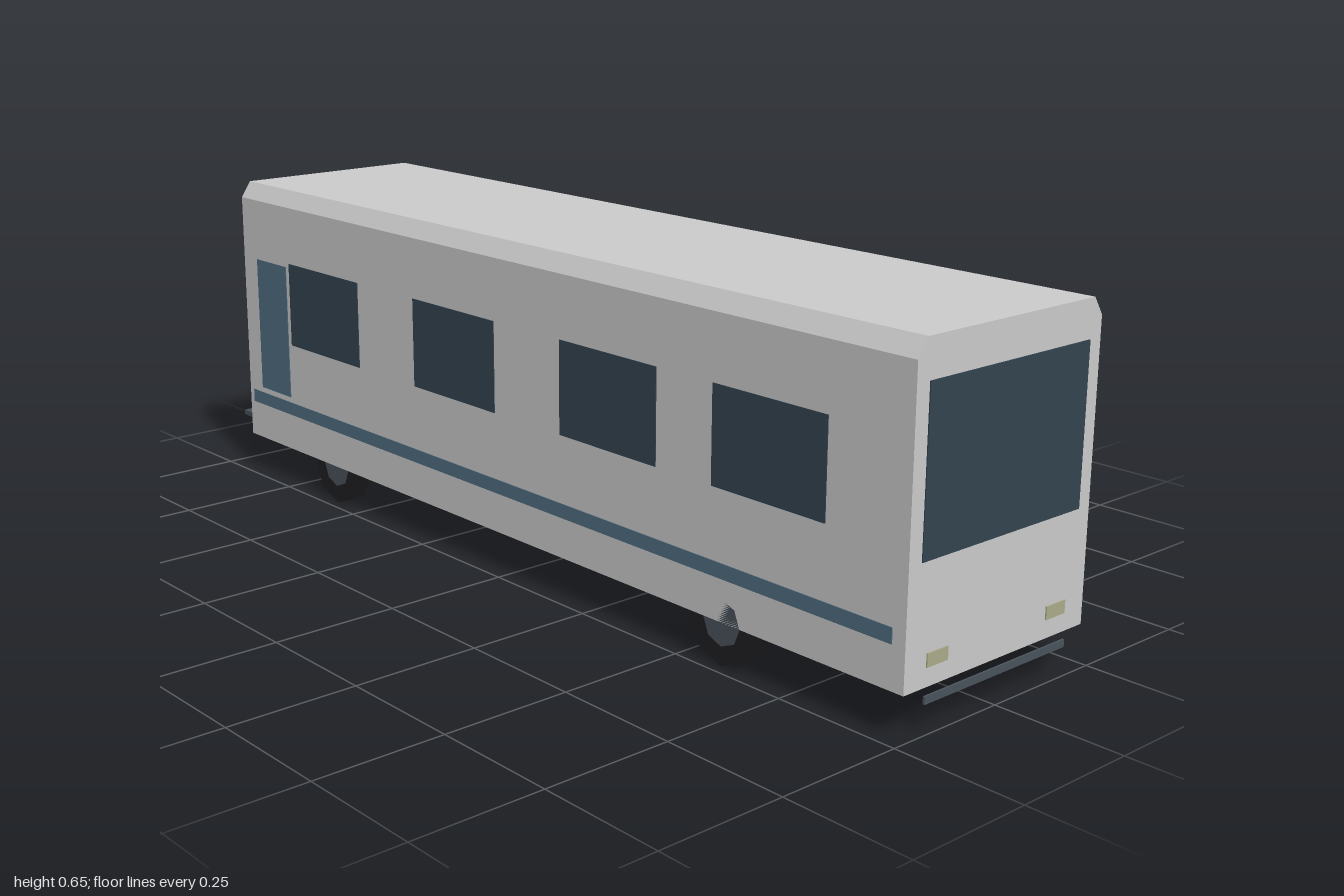
import * as THREE from 'three';

const mat = (color) => new THREE.MeshStandardMaterial({ color, flatShading: true });
const M = {
  body: mat(0xcccccc), glass: mat(0x334450), trim: mat(0x507082), tyre: mat(0x1e1e22),
  metal: mat(0x4a535c), dark: mat(0x33383e), headlight: mat(0xacac8a), taillight: mat(0x803838),
};

function add(parent, name, geometry, material, x = 0, y = 0, z = 0) {
  const mesh = new THREE.Mesh(geometry, material);
  mesh.name = name;
  mesh.position.set(x, y, z);
  parent.add(mesh);
  return mesh;
}

// Box given by its minimum and maximum corners
function box(parent, name, material, [x0, y0, z0], [x1, y1, z1]) {
  return add(parent, name, new THREE.BoxGeometry(x1 - x0, y1 - y0, z1 - z0), material,
    (x0 + x1) / 2, (y0 + y1) / 2, (z0 + z1) / 2);
}

// Thin round bar between two points
function bar(parent, name, material, a, b, r) {
  const p = new THREE.Vector3(...a), q = new THREE.Vector3(...b);
  const d = q.clone().sub(p);
  const mesh = add(parent, name, new THREE.CylinderGeometry(r, r, d.length(), 6), material);
  mesh.position.copy(p).add(q).multiplyScalar(0.5);
  mesh.quaternion.setFromUnitVectors(new THREE.Vector3(0, 1, 0), d.normalize());
  return mesh;
}

function createBody() {
  const w = 0.23, s = new THREE.Shape();
  s.moveTo(-w, 0.081);
  s.lineTo(w, 0.081);
  s.lineTo(w, 0.622);
  s.lineTo(w - 0.022, 0.655);
  s.lineTo(-w + 0.022, 0.655);
  s.lineTo(-w, 0.622);
  s.closePath();
  const geometry = new THREE.ExtrudeGeometry(s, { depth: 1.925, bevelEnabled: false });
  geometry.translate(0, 0, -0.928);
  return geometry;
}

function createWheel(side, z) {
  const wheel = new THREE.Group();
  wheel.name = 'wheel';
  const r = 0.081;
  const tyre = add(wheel, 'tyre', new THREE.CylinderGeometry(r, r, 0.032, 8), M.tyre);
  const hub = add(wheel, 'hub', new THREE.CylinderGeometry(0.044, 0.044, 0.033, 8), M.metal, side * 0.0005);
  tyre.rotation.z = hub.rotation.z = Math.PI / 2;
  wheel.position.set(side * 0.213, r, z);
  return wheel;
}

function createLadder() {
  const ladder = new THREE.Group();
  ladder.name = 'ladder';
  for (const x of [0.138, 0.202])
    box(ladder, 'ladderRail', M.dark, [x - 0.008, 0.155, -0.955], [x + 0.008, 0.638, -0.941]);
  for (let i = 0; i < 5; i++) {
    const y = 0.235 + i * 0.0915;
    box(ladder, 'ladderRung', M.dark, [0.138, y - 0.006, -0.953], [0.202, y + 0.006, -0.943]);
  }
  return ladder;
}

function createBicycle() {
  const bike = new THREE.Group();
  bike.name = 'bicycle';
  const z = -0.969;
  const P = {
    frontHub: [0.046, 0.197, z], rearHub: [-0.14, 0.197, z], crank: [-0.049, 0.197, z],
    head: [0.012, 0.283, z], seatTop: [-0.098, 0.278, z],
  };
  // Six-sided wheels with a corner pointing along x
  for (const [x, y] of [P.frontHub, P.rearHub]) {
    const g = new THREE.CylinderGeometry(0.0525, 0.0525, 0.016, 6);
    g.rotateY(Math.PI / 2).rotateX(Math.PI / 2);
    add(bike, 'bicycleWheel', g, M.tyre, x, y, z);
  }
  const tubes = [['frontHub', 'head'], ['head', 'seatTop'], ['head', 'crank'],
    ['crank', 'seatTop'], ['seatTop', 'rearHub']];
  for (const [a, b] of tubes) bar(bike, 'bicycleFrame', M.trim, P[a], P[b], 0.004);
  bar(bike, 'handlebarStem', M.trim, P.head, [0.02, 0.315, z], 0.004);
  bar(bike, 'seatPost', M.trim, P.seatTop, [-0.094, 0.307, z], 0.004);
  box(bike, 'handlebar', M.dark, [-0.01, 0.313, z - 0.007], [0.05, 0.325, z + 0.007]);
  box(bike, 'saddle', M.dark, [-0.122, 0.304, z - 0.009], [-0.067, 0.316, z + 0.009]);
  return bike;
}

export function createModel() {
  const model = new THREE.Group();
  model.name = 'motorCoach';
  add(model, 'body', createBody(), M.body);
  box(model, 'windscreen', M.glass, [-0.2, 0.295, 0.99], [0.2, 0.585, 0.999]);

  // Matching windows, door and stripe on both sides
  for (const side of [1, -1]) {
    const panel = (name, material, y0, y1, z0, z1) =>
      add(model, name, new THREE.BoxGeometry(0.004, y1 - y0, z1 - z0), material,
        side * 0.2295, (y0 + y1) / 2, (z0 + z1) / 2);
    for (const z of [0.693, 0.294, -0.16, -0.615])
      panel('sideWindow', M.glass, 0.32, 0.5, z - 0.13, z + 0.13);
    panel('sideDoor', M.trim, 0.2, 0.491, -0.874, -0.758);
    panel('sideStripe', M.trim, 0.16, 0.188, -0.912, 0.97);
    for (const z of [0.592, -0.588]) model.add(createWheel(side, z));
  }

  // Lights and bumpers at both ends
  for (const [end, name, material] of [[1, 'headlight', M.headlight], [-1, 'taillight', M.taillight]]) {
    for (const side of [1, -1])
      add(model, name, new THREE.BoxGeometry(0.051, 0.024, 0.003), material, side * 0.1525, 0.127, end * 0.9978);
    add(model, 'bumper', new THREE.BoxGeometry(0.362, 0.014, 0.004), M.metal, 0, 0.06, end * 0.998);
  }

  // Rear rack
  box(model, 'bikeRack', M.metal, [-0.208, 0.106, -0.997], [0.087, 0.117, -0.933]);
  model.add(createLadder(), createBicycle());
  return model;
}
